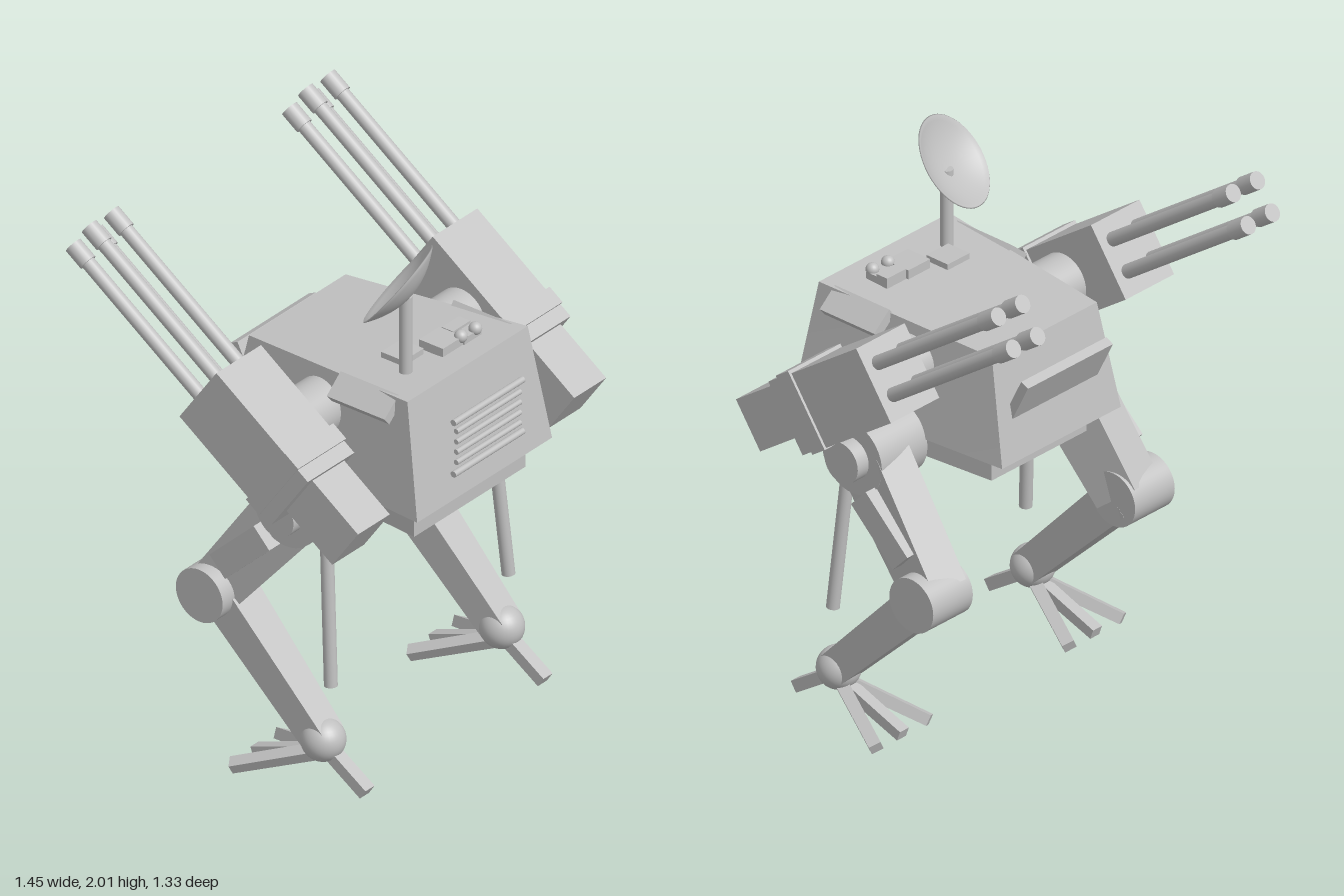
import * as THREE from 'three';

export function createModel() {
  const root = new THREE.Group();
  root.name = 'walker';
  const grey = new THREE.MeshStandardMaterial({ color: 0xc0c0c0 });
  grey.name = 'light grey';
  const V = (x, y, z) => new THREE.Vector3(x, y, z);
  const UP = V(0, 1, 0);

  function add(parent, name, geo, x = 0, y = 0, z = 0) {
    const m = new THREE.Mesh(geo, grey);
    m.name = name;
    m.position.set(x, y, z);
    parent.add(m);
    return m;
  }
  const box = (p, name, w, h, d, x, y, z) => add(p, name, new THREE.BoxGeometry(w, h, d), x, y, z);
  const crossCylinder = (p, name, r, len, x, y, z) =>
    add(p, name, new THREE.CylinderGeometry(r, r, len, 40).rotateZ(Math.PI / 2), x, y, z);

  // lay a part that runs along y between two points
  function span(p, name, geo, a, b) {
    const m = add(p, name, geo);
    m.position.copy(a).add(b).multiplyScalar(0.5);
    m.quaternion.setFromUnitVectors(UP, b.clone().sub(a).normalize());
    return m;
  }
  const rod = (p, name, r, a, b) => span(p, name, new THREE.CylinderGeometry(r, r, a.distanceTo(b), 20), a, b);

  // tapered beam, [width, depth] at each end
  function beam(p, name, a, b, [w0, d0], [w1, d1]) {
    const g = new THREE.BoxGeometry(1, a.distanceTo(b), 1);
    const q = g.attributes.position;
    for (let i = 0; i < q.count; i++) {
      const end = q.getY(i) > 0;
      q.setX(i, q.getX(i) * (end ? w1 : w0));
      q.setZ(i, q.getZ(i) * (end ? d1 : d0));
    }
    g.computeVertexNormals();
    return span(p, name, g, a, b);
  }

  // six-sided block; each corner rule gives [half width, y, z]
  function block(p, name, rule) {
    const g = new THREE.BoxGeometry(2, 2, 2);
    const q = g.attributes.position;
    for (let i = 0; i < q.count; i++) {
      const [w, y, z] = rule(q.getY(i) > 0, q.getZ(i) > 0);
      q.setXYZ(i, q.getX(i) * w, y, z);
    }
    g.computeVertexNormals();
    return add(p, name, g);
  }

  // body
  block(root, 'hull', (top, front) => top
    ? (front ? [0.33, 1.535, 0.565] : [0.265, 1.495, -0.185])
    : (front ? [0.37, 1.1, 0.64] : [0.3, 1.1, -0.265]));
  block(root, 'belly', (top, front) =>
    [front ? 0.305 : 0.24, top ? 1.1 : 0.99, front ? 0.575 : -0.16]);
  box(root, 'rearFlap', 0.43, 0.2, 0.035, 0, 1.315, -0.247).rotation.x = -0.46;

  // front grille
  for (let i = 0; i < 6; i++) {
    const outer = i === 0 || i === 5;
    const h = outer ? 0.19 : 0.175;
    const y = 1.42 - i * 0.041;
    rod(root, 'grilleBar', outer ? 0.012 : 0.01, V(-h, y, 0.655), V(h, y, 0.655));
  }

  // roof fittings
  box(root, 'roofPlate', 0.11, 0.022, 0.1, -0.09, 1.542, 0.35);
  box(root, 'roofBox', 0.11, 0.035, 0.105, 0.045, 1.545, 0.412);
  box(root, 'roofBox', 0.095, 0.04, 0.05, 0.148, 1.545, 0.395);
  box(root, 'roofBar', 0.095, 0.03, 0.05, 0.148, 1.54, 0.445);
  for (const [x, z] of [[0.1, 0.455], [0.173, 0.46]])
    add(root, 'roofLamp', new THREE.SphereGeometry(0.024, 20, 14), x, 1.56, z);

  // dish on its mast
  rod(root, 'mast', 0.023, V(-0.165, 1.53, 0.425), V(-0.165, 1.83, 0.425));
  const R = 0.178, profile = [];
  for (let i = 0; i <= 10; i++) profile.push(new THREE.Vector2(R * i / 10, 0.06 * ((i / 10) ** 2 - 1)));
  for (let i = 10; i >= 0; i--) profile.push(new THREE.Vector2((R - 0.004) * i / 10, 0.05 * ((i / 10) ** 2 - 1) + 0.003));
  const dish = add(root, 'dish', new THREE.LatheGeometry(profile, 48), -0.17, 1.868, 0.395);
  dish.quaternion.setFromUnitVectors(UP, V(-0.27, 0.62, -0.73).normalize());

  for (const s of [1, -1]) {
    const side = s > 0 ? 'left' : 'right';

    // shoulder
    box(root, side + 'ShoulderSlab', 0.1, 0.04, 0.255, s * 0.335, 1.487, 0.382).rotation.z = -s * 0.7;
    crossCylinder(root, side + 'Shoulder', 0.104, 0.26, s * 0.37, 1.365, 0.16);

    // gun: local -z runs along the barrels, origin at the muzzle face of the housing
    const gun = new THREE.Group();
    gun.name = side + 'Gun';
    gun.position.set(s * 0.593, 1.515, -0.048);
    gun.rotation.x = THREE.MathUtils.degToRad(35);
    root.add(gun);
    box(gun, 'housing', 0.245, 0.283, 0.42, 0, 0, 0.21);
    box(gun, 'collar', 0.265, 0.3, 0.07, 0, 0.004, 0.405);
    box(gun, 'collarStep', 0.255, 0.28, 0.06, 0, 0.004, 0.465);
    box(gun, 'breech', 0.175, 0.198, 0.28, 0, 0.024, 0.6);
    for (const x of [-0.061, 0.061]) for (const y of [-0.058, 0.064]) {
      rod(gun, 'barrel', 0.026, V(x, y, 0.02), V(x, y, -0.64));
      rod(gun, 'muzzle', 0.033, V(x, y, -0.61), V(x, y, -0.69));
    }

    // leg
    const leg = new THREE.Group();
    leg.name = side + 'Leg';
    root.add(leg);
    const P = (x, y, z) => V(s * x, y, z);
    crossCylinder(leg, 'hip', 0.14, 0.23, s * 0.435, 1.07, 0.206);
    crossCylinder(leg, 'hipCap', 0.078, 0.08, s * 0.565, 1.07, 0.206);
    beam(leg, 'thigh', P(0.46, 1.07, 0.206), P(0.485, 0.637, -0.127), [0.145, 0.25], [0.145, 0.195]);
    beam(leg, 'thighPanel', P(0.565, 0.955, 0.135), P(0.565, 0.77, -0.06), [0.06, 0.1], [0.06, 0.1]);
    crossCylinder(leg, 'knee', 0.103, 0.2, s * 0.51, 0.637, -0.127);
    beam(leg, 'shin', P(0.483, 0.637, -0.127), P(0.488, 0.18, 0.323), [0.145, 0.15], [0.105, 0.12]);
    rod(leg, 'strut', 0.024, P(0.45, 1.05, 0.303), P(0.487, 0.4, 0.354));

    // foot
    add(leg, 'ankle', new THREE.SphereGeometry(0.08, 32, 20), s * 0.49, 0.178, 0.323);
    beam(leg, 'frontToe', P(0.488, 0.17, 0.31), P(0.488, 0.035, 0.515), [0.05, 0.045], [0.05, 0.045]);
    for (const dx of [-0.135, 0, 0.135])
      beam(leg, 'rearToe', P(0.488 + dx * 0.1, 0.125, 0.3), P(0.488 + dx, 0.025, 0.025), [0.045, 0.045], [0.045, 0.04]);
  }
  return root;
}
